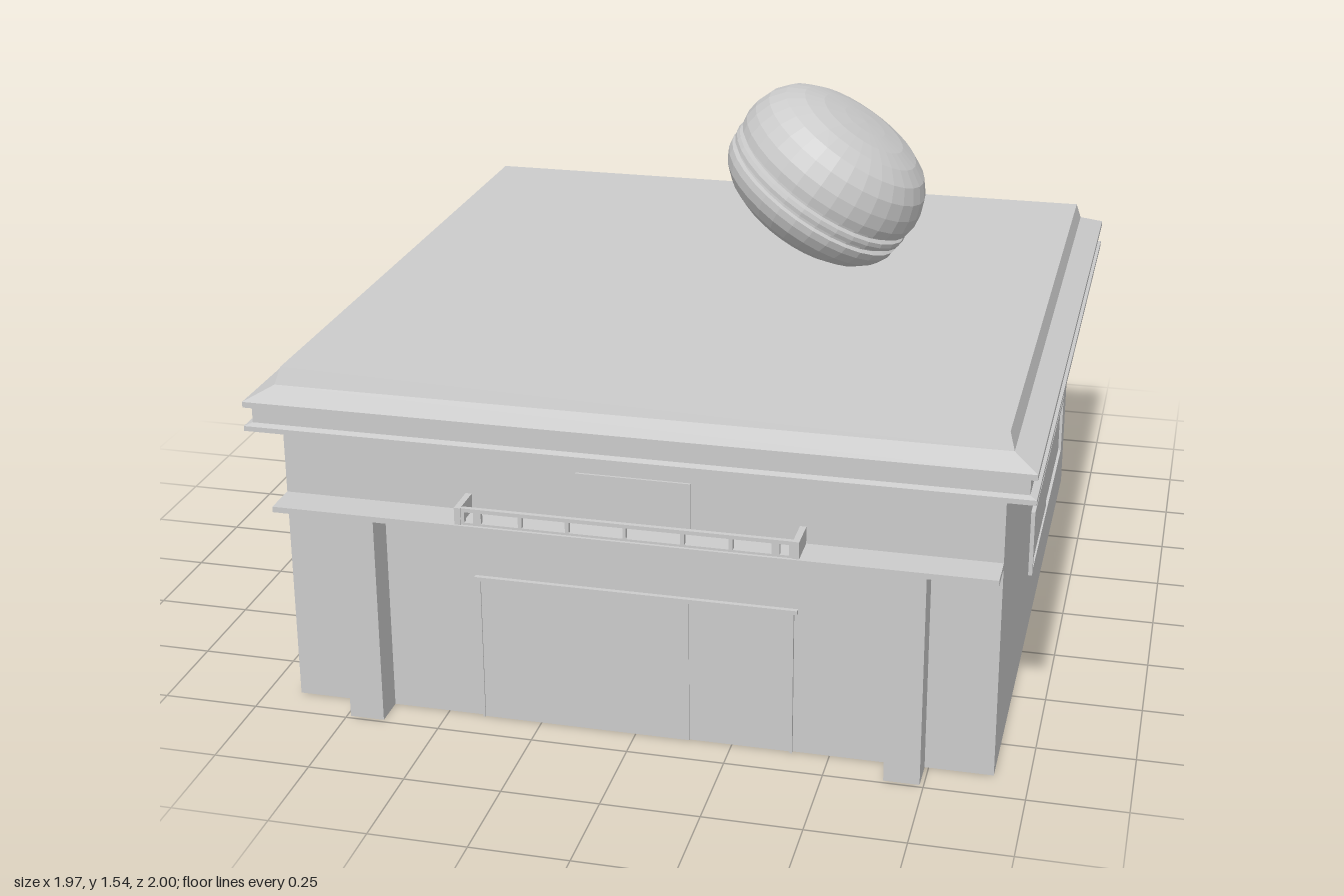
import * as THREE from 'three';

const grey = new THREE.MeshStandardMaterial({ color: 0xcccccc, flatShading: true });

export function createModel() {
  const root = new THREE.Group();
  root.name = 'bakeryShop';

  const add = (name, geometry, parent = root) => {
    const mesh = new THREE.Mesh(geometry, grey);
    mesh.name = name;
    parent.add(mesh);
    return mesh;
  };
  // Box given by its limits on each axis
  const box = (name, [x0, x1], [y0, y1], [z0, z1], parent) => {
    const mesh = add(name, new THREE.BoxGeometry(x1 - x0, y1 - y0, z1 - z0), parent);
    mesh.position.set((x0 + x1) / 2, (y0 + y1) / 2, (z0 + z1) / 2);
    return mesh;
  };
  // Flat plate in the xy plane with rectangular holes
  const trace = (path, x0, x1, y0, y1) =>
    path.moveTo(x0, y0).lineTo(x1, y0).lineTo(x1, y1).lineTo(x0, y1).closePath();
  const plate = (outer, holes, depth) => {
    const shape = trace(new THREE.Shape(), ...outer);
    for (const h of holes) shape.holes.push(trace(new THREE.Path(), ...h));
    return new THREE.ExtrudeGeometry(shape, { depth, bevelEnabled: false });
  };

  const W = 0.912, FRONT = 0.905;

  // Main walls
  box('walls', [-W, W], [0, 0.745], [-0.92, FRONT]);

  // Stepped cornice and flat roof: a four-sided lathe
  const profile = [
    [0, 0.735], [0.91, 0.735], [0.935, 0.752], [0.987, 0.767], [0.987, 0.78], [0.97, 0.785],
    [0.97, 0.825], [0.987, 0.83], [0.987, 0.845], [0.925, 0.873], [0.912, 0.917], [0, 0.917],
  ].map(([r, y]) => new THREE.Vector2(r * Math.SQRT2, y));
  const cornice = add('corniceAndRoof', new THREE.LatheGeometry(profile, 4, Math.PI / 4));
  cornice.position.z = -0.015;
  cornice.scale.z = 0.998;

  // Front canopy and its two pillars
  box('canopy', [-W, W], [0.565, 0.58], [FRONT - 0.005, 1]);
  for (const s of [-1, 1]) {
    box('pillar', [s * 0.695 - 0.045, s * 0.695 + 0.045], [0, 0.566], [FRONT - 0.005, 0.99]);
  }

  // Railing on the canopy: pierced front and solid end returns
  const railing = new THREE.Group();
  railing.name = 'canopyRailing';
  root.add(railing);
  const holes = [];
  for (const [a, b] of [[0.004, 0.14], [0.15, 0.26], [0.27, 0.365], [0.385, 0.408]]) {
    holes.push([a, b, 0.586, 0.614], [-b, -a, 0.586, 0.614]);
  }
  add('railingFront', plate([-0.43, 0.43, 0.58, 0.624], holes, 0.012), railing).position.z = 0.98;
  for (const s of [-1, 1]) {
    box('railingEnd', [s * 0.425 - 0.008, s * 0.425 + 0.008], [0.58, 0.625], [FRONT - 0.005, 0.995], railing);
  }

  // Plain panel above the canopy
  box('wallPanel', [-0.145, 0.145], [0.58, 0.71], [FRONT - 0.005, FRONT + 0.006]);

  // Sliding door with a thin surround
  const door = new THREE.Group();
  door.name = 'door';
  root.add(door);
  box('doorLintel', [-0.415, 0.415], [0.389, 0.4], [FRONT - 0.005, FRONT + 0.012], door);
  for (const s of [-1, 1]) {
    box('doorJamb', [s * 0.403 - 0.003, s * 0.403 + 0.003], [0, 0.39], [FRONT - 0.005, FRONT + 0.01], door);
  }
  box('doorLeafFixed', [-0.4, 0.14], [0, 0.389], [FRONT - 0.005, FRONT + 0.006], door);
  box('doorLeafSliding', [0.14, 0.4], [0, 0.389], [FRONT - 0.005, FRONT + 0.002], door);

  // Side windows, one on each flank: frame and two stepped panes
  for (const s of [-1, 1]) {
    const win = new THREE.Group();
    win.name = s > 0 ? 'leftWindow' : 'rightWindow';
    add('windowFrame', plate([-0.433, 0.433, 0.197, 0.385], [[-0.416, 0.416, 0.211, 0.37]], 0.014), win);
    box('windowPane', [-0.416, 0], [0.211, 0.37], [0, 0.009], win);
    box('windowPane', [0, 0.416], [0.211, 0.37], [0, 0.006], win);
    win.rotation.y = s * Math.PI / 2;
    win.position.set(s * (W - 0.003), 0, -0.253);
    root.add(win);
  }

  // Floating tilted macaron: domed shells around a ridged filling
  const macaron = [
    [0, -0.145], [0.06, -0.143], [0.12, -0.137], [0.17, -0.124], [0.21, -0.102], [0.24, -0.072],
    [0.253, -0.045], [0.255, -0.026], [0.243, -0.022], [0.243, -0.015], [0.256, -0.011],
    [0.258, 0], [0.256, 0.011], [0.243, 0.015], [0.243, 0.022], [0.257, 0.026],
    [0.26, 0.05], [0.255, 0.085], [0.24, 0.125], [0.212, 0.16], [0.17, 0.184],
    [0.12, 0.198], [0.06, 0.204], [0, 0.206],
  ].map(([r, y]) => new THREE.Vector2(r, y));
  const treat = add('macaron', new THREE.LatheGeometry(macaron, 32));
  treat.position.set(0.336, 1.292, 0.255);
  treat.rotation.z = -0.577;

  return root;
}
